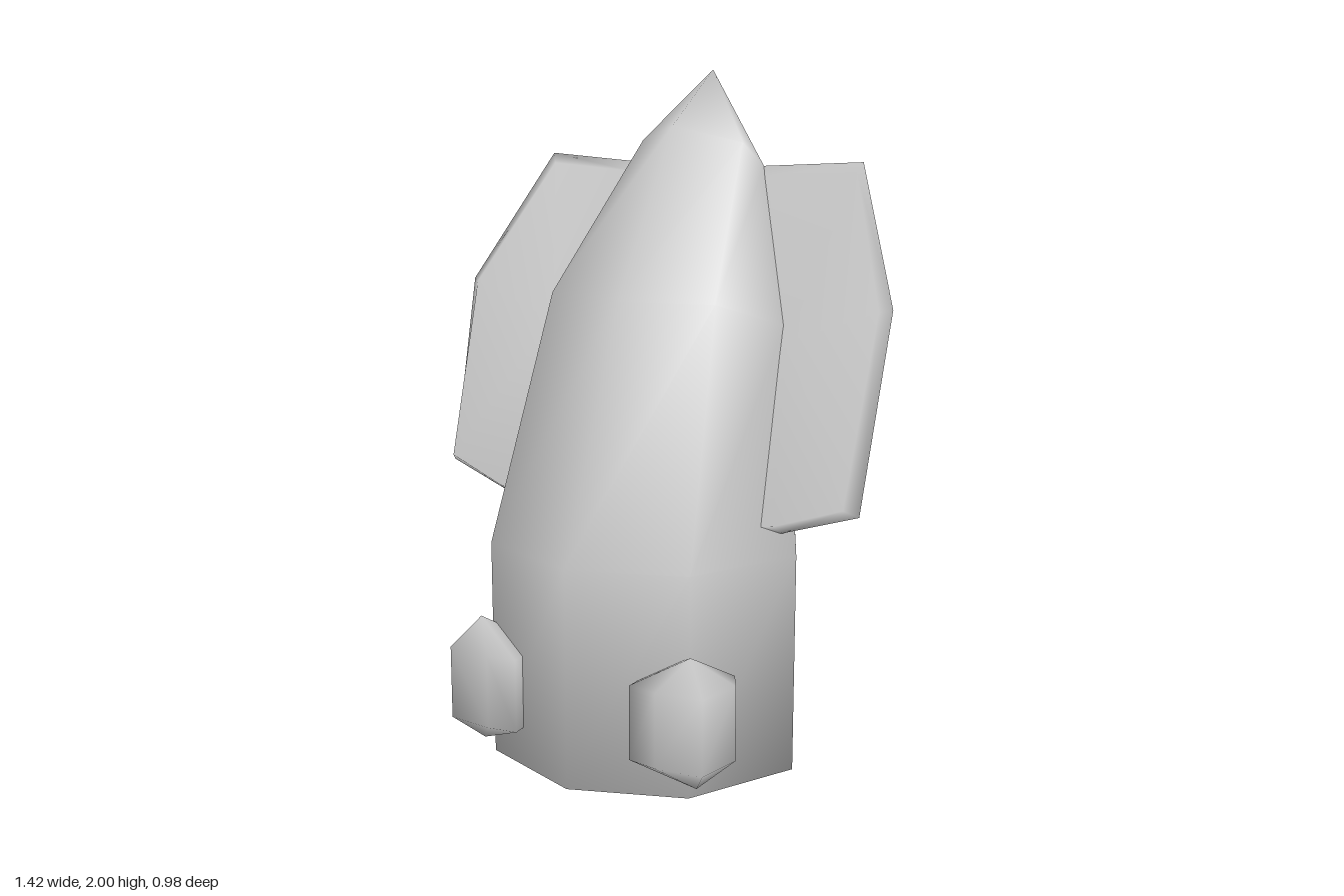
import * as THREE from 'three';

const material = new THREE.MeshStandardMaterial({ color: 0xcccccc });

// Smooth closed skin over a stack of rings, each end closed by a fan to a tip
function loft(rings, startTip, endTip) {
  const n = rings[0].length;
  const points = [...rings.flat(), startTip, endTip];
  const s = points.length - 2, e = s + 1, last = (rings.length - 1) * n;
  const faces = [];
  for (let i = 0; i < n; i++) {
    const j = (i + 1) % n;
    faces.push([s, j, i], [e, last + i, last + j]);
    for (let r = 0; r < last; r += n) {
      faces.push([r + i, r + j, r + n + j], [r + i, r + n + j, r + n + i]);
    }
  }
  // Turn the faces outward if the enclosed volume comes out negative
  const v = points.map((p) => new THREE.Vector3(...p));
  let volume = 0;
  for (const [a, b, c] of faces) volume += v[a].dot(v[b].clone().cross(v[c]));
  if (volume < 0) faces.forEach((f) => f.reverse());
  const geometry = new THREE.BufferGeometry();
  geometry.setAttribute('position', new THREE.Float32BufferAttribute(points.flat(), 3));
  geometry.setIndex(faces.flat());
  geometry.computeVertexNormals();
  return geometry;
}

// Completes a half ring (front centre to back centre) with its mirror image
function mirrorRing(half) {
  return [...half, ...half.slice(1, -1).reverse().map(([x, y, z]) => [-x, y, z])];
}

function centroid(ring) {
  return [0, 1, 2].map((k) => ring.reduce((sum, p) => sum + p[k], 0) / ring.length);
}

function addPart(parent, name, geometry, mirrored = false) {
  const mesh = new THREE.Mesh(geometry, material);
  mesh.name = name;
  if (mirrored) mesh.scale.x = -1;
  parent.add(mesh);
}

export function createModel() {
  const model = new THREE.Group();
  model.name = 'model';

  // Body: eight-sided column leaning back to a pointed top
  const base = (y) => [[0, y, 0.49], [0.33, y, 0.37], [0.5, y, 0.05], [0.33, y, -0.27], [0, y, -0.36]];
  const bodyRings = [
    base(0),
    base(0.65),
    [[0, 1.36, 0.2], [0.27, 1.36, 0.12], [0.38, 1.28, -0.1], [0.29, 1.22, -0.3], [0, 1.18, -0.36]],
    [[0, 1.84, -0.12], [0.17, 1.79, -0.24], [0.21, 1.72, -0.3], [0.13, 1.72, -0.4], [0, 1.73, -0.49]],
  ].map(mirrorRing);
  addPart(model, 'body', loft(bodyRings, [0, 0, 0.05], [0, 2, -0.37]));

  // Wings: tilted slabs with bevelled rims, the inner end buried in the body
  const rim = [
    [0.1, 1.7, -0.3], [0.21, 1.72, -0.3], [0.53, 1.74, -0.295],
    [0.71, 1.35, -0.1], [0.69, 0.79, 0.055], [0.47, 0.72, 0.08], [0.1, 0.66, 0.09],
  ];
  const mid = centroid(rim);
  const face = (side) => rim.map(([x, y, z]) => [
    x + (mid[0] - x) * 0.1,
    y + (mid[1] - y) * 0.06,
    z + side * (0.015 + 0.035 * (1.74 - y)),
  ]);
  const front = face(1), back = face(-1);
  const wing = loft([front, rim, back], centroid(front), centroid(back));

  // Feet: faceted pads on the lower front corners
  const footRing = (y) => [
    [0.19, y, 0.46], [0.28, y, 0.475], [0.42, y, 0.46],
    [0.45, y, 0.32], [0.41, y, 0.25], [0.2, y, 0.3],
  ];
  const foot = loft([footRing(0.12), footRing(0.34)], [0.36, 0.04, 0.38], [0.35, 0.43, 0.4]);

  for (const side of ['left', 'right']) {
    addPart(model, side + 'Wing', wing, side === 'right');
    addPart(model, side + 'Foot', foot, side === 'right');
  }
  return model;
}
